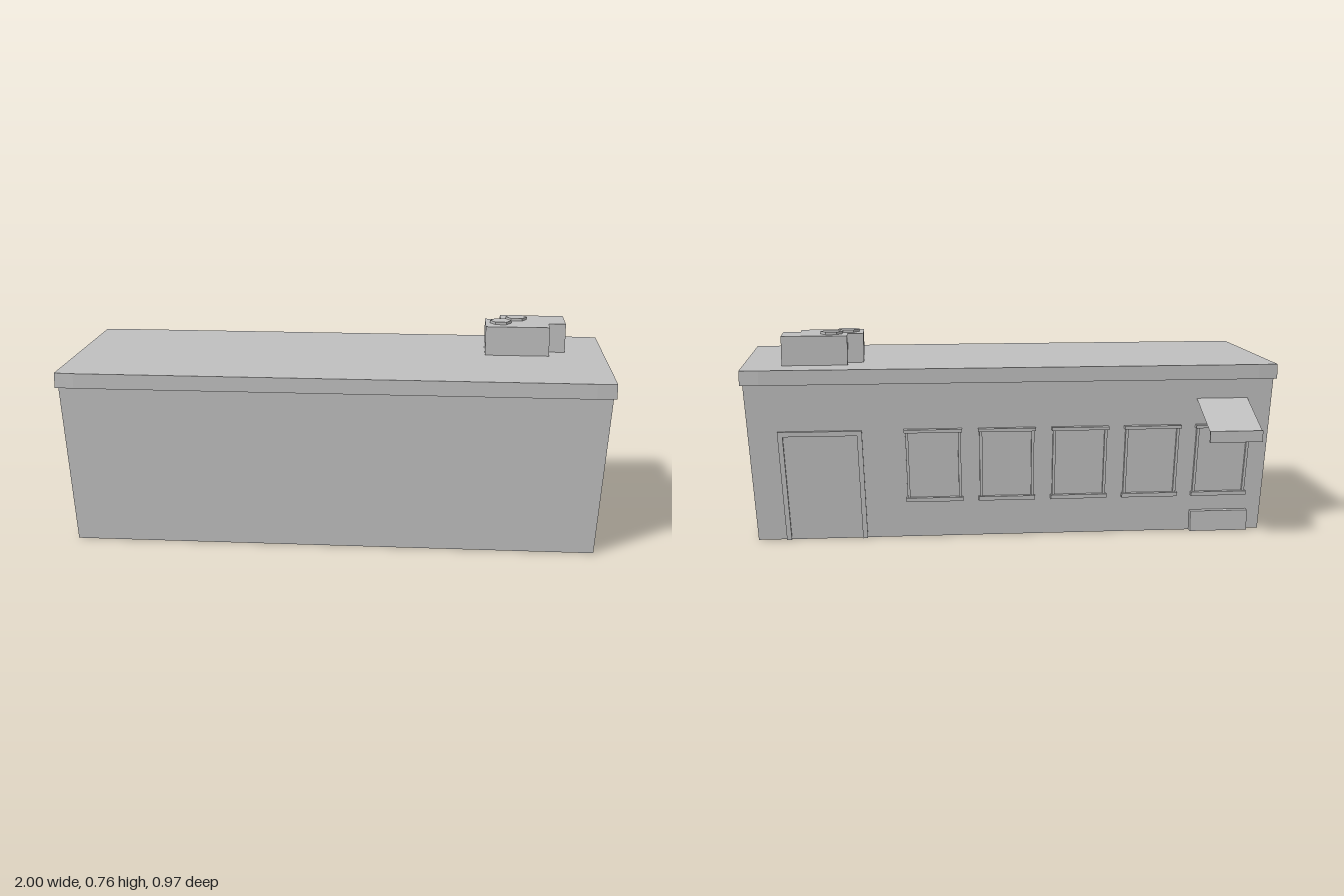
import * as THREE from 'three';

export function createModel() {
  const model = new THREE.Group();
  model.name = 'flatRoofBuilding';
  const grey = new THREE.MeshStandardMaterial({ color: 0xc0c0c0 });
  grey.name = 'plainGrey';
  const greySheet = new THREE.MeshStandardMaterial({ color: 0xc0c0c0, side: THREE.DoubleSide });
  greySheet.name = 'plainGreySheet';

  const add = (name, geometry, material = grey, parent = model) => {
    const mesh = new THREE.Mesh(geometry, material);
    mesh.name = name;
    parent.add(mesh);
    return mesh;
  };

  // Horizontal slab from an x/z outline
  const slab = (points, bottom, top) => {
    const shape = new THREE.Shape(points.map(([x, z]) => new THREE.Vector2(x, z)));
    return new THREE.ExtrudeGeometry(shape, { depth: top - bottom, bevelEnabled: false })
      .rotateX(Math.PI / 2).translate(0, top, 0);
  };

  // Walls flare outwards with height
  const wallZ = (y) => -0.252 - 0.0222 * y;
  const flare = (y) => 1 + 0.072 * y;
  const reshape = (geometry, rule) => {
    const p = geometry.attributes.position;
    for (let i = 0; i < p.count; i++) p.setXYZ(i, ...rule(p.getX(i), p.getY(i), p.getZ(i)));
    const flat = geometry.toNonIndexed();
    flat.computeVertexNormals();
    return flat;
  };

  // Main block
  const H = 0.59;
  add('walls', reshape(new THREE.BoxGeometry(1.9, H, 1).translate(0, H / 2, 0),
    (x, y, z) => [x * flare(y), y, z > 0 ? 0.452 + 0.027 * y : wallZ(y)]));

  // Overhanging roof with slightly drawn-in corners
  add('roof', slab([
    [-1, -0.279], [-0.93, -0.284], [0.93, -0.284], [1, -0.279],
    [1, 0.478], [0.93, 0.483], [-0.93, 0.483], [-1, 0.478],
  ], 0.585, 0.64));

  // Stepped rooftop unit with two hexagonal vents
  const unit = new THREE.Group();
  unit.name = 'rooftopUnit';
  model.add(unit);
  add('unitBody', slab([
    [0.61, -0.155], [0.855, -0.155], [0.855, 0], [0.79, 0],
    [0.79, 0.07], [0.55, 0.07], [0.55, -0.08], [0.61, -0.08],
  ], 0.635, 0.75), grey, unit);
  for (const [x, z] of [[0.67, -0.08], [0.608, -0.006]]) {
    const vent = new THREE.CylinderGeometry(0.041, 0.041, 0.015, 6).toNonIndexed();
    vent.computeVertexNormals();
    add('roofVent', vent.rotateY(Math.PI / 6).translate(x, 0.7525, z), grey, unit);
  }

  // Trim standing proud of the sloping back wall
  const trim = (name, parent, x0, x1, y0, y1, depth) => add(name, reshape(
    new THREE.BoxGeometry(x1 - x0, y1 - y0, 1).translate((x0 + x1) / 2, (y0 + y1) / 2, 0),
    (x, y, z) => [x * flare(y), y, wallZ(y) + (z > 0 ? 0.005 : -depth)]), grey, parent);

  // Door
  const door = new THREE.Group();
  door.name = 'door';
  model.add(door);
  trim('doorLeaf', door, 0.563, 0.827, 0, 0.392, 0.002);
  trim('doorJamb', door, 0.545, 0.563, 0, 0.41, 0.015);
  trim('doorJamb', door, 0.827, 0.845, 0, 0.41, 0.015);
  trim('doorHead', door, 0.563, 0.827, 0.392, 0.41, 0.015);

  // Row of five windows
  for (const x of [0.29, 0.022, -0.247, -0.515, -0.78]) {
    const win = new THREE.Group();
    win.name = 'window';
    model.add(win);
    trim('windowPane', win, x - 0.09, x + 0.09, 0.152, 0.4, 0.002);
    trim('windowLintel', win, x - 0.105, x + 0.105, 0.4, 0.412, 0.023);
    trim('windowSill', win, x - 0.105, x + 0.105, 0.137, 0.152, 0.02);
    for (const s of [-1, 1]) {
      const c = x + s * 0.095;
      trim('windowSide', win, c - 0.005, c + 0.005, 0.152, 0.4, 0.012);
    }
  }

  // Low counter box below the last window
  add('serviceBox', new THREE.BoxGeometry(0.22, 0.078, 0.033).translate(-0.79, 0.039, -0.2615));

  // Sloping awning sheet with a hanging front strip
  const awning = new THREE.Group();
  awning.name = 'awning';
  model.add(awning);
  const sheet = new THREE.PlaneGeometry(0.195, 1);
  add('awningSheet', reshape(sheet,
    (x, y) => [x - 0.795, y > 0 ? 0.512 : 0.421, y > 0 ? -0.262 : -0.476]), greySheet, awning);
  add('awningValance', new THREE.BoxGeometry(0.195, 0.042, 0.01).translate(-0.795, 0.404, -0.478), grey, awning);

  return model;
}
